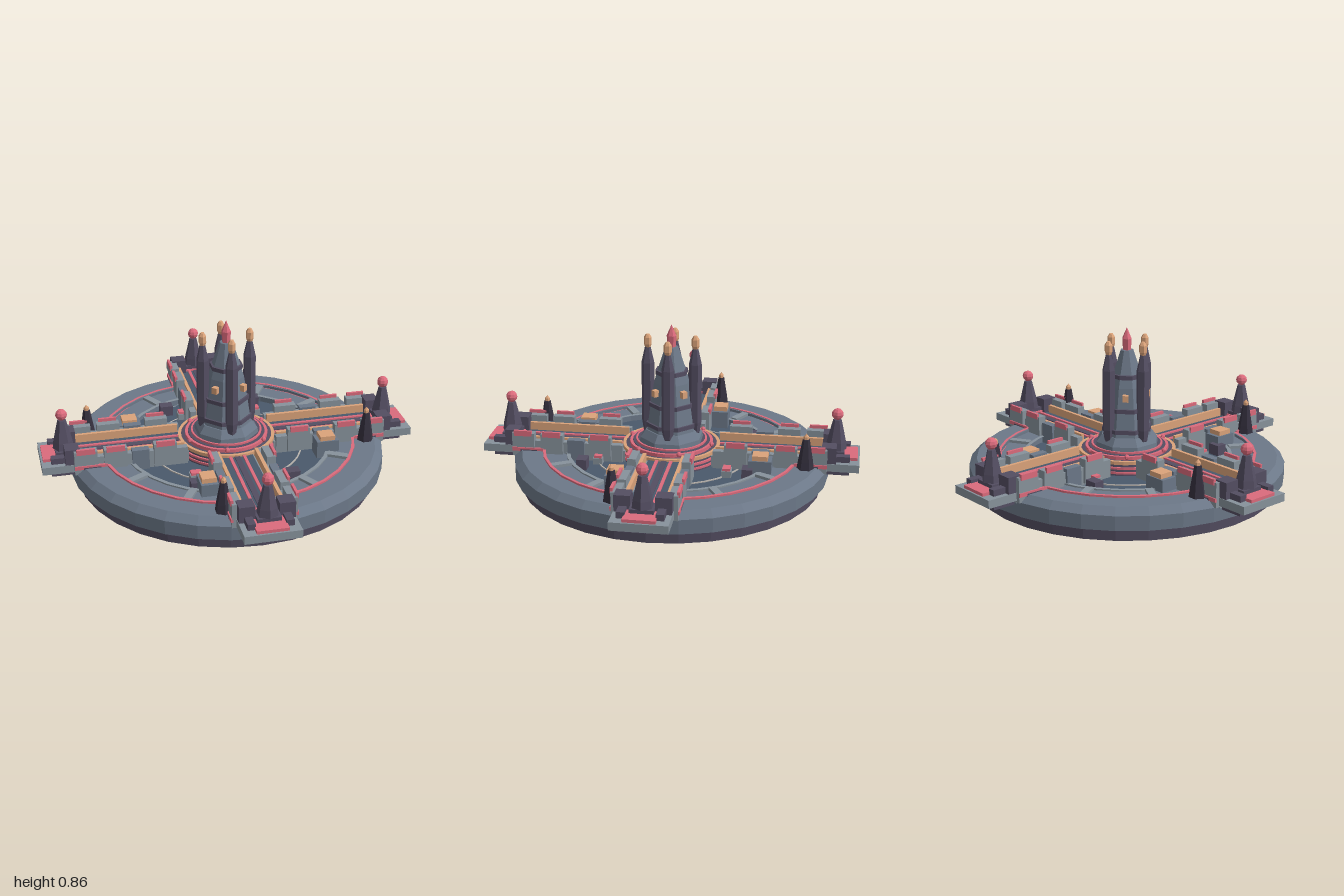
import * as THREE from 'three';

const mat = (color) => new THREE.MeshStandardMaterial({ color, flatShading: true, side: THREE.DoubleSide });
const M = {
  slate: mat(0x6c7888), light: mat(0x87929b), floor: mat(0x4a596b), dark: mat(0x544e62),
  black: mat(0x35313f), pink: mat(0xdb6b7c), orange: mat(0xdba37a), cream: mat(0xb9b4ae),
};

function add(parent, name, geometry, material, x = 0, y = 0, z = 0, ry = 0) {
  const mesh = new THREE.Mesh(geometry, material);
  mesh.name = name;
  mesh.position.set(x, y, z);
  mesh.rotation.y = ry;
  parent.add(mesh);
  return mesh;
}

// Box given by its centre in x and z and its bottom and top heights
const block = (p, name, m, x, z, w, d, y0, y1, ry = 0) =>
  add(p, name, new THREE.BoxGeometry(w, y1 - y0, d), m, x, (y0 + y1) / 2, z, ry);

// Turned shape from [radius, height] pairs, listed from bottom to top
const turned = (p, name, m, pts, sides, x = 0, z = 0, ry = 0) =>
  add(p, name, new THREE.LatheGeometry(pts.map(([r, y]) => new THREE.Vector2(r, y)), sides), m, x, 0, z, ry);

// Flat raised band between two radii
const band = (p, name, m, r0, r1, y0, y1, sides = 32) =>
  turned(p, name, m, [[r0, y0], [r1, y0], [r1, y1], [r0, y1]], sides);

// Calls fn(x, z, angle) at n places round a circle
function around(n, r, start, fn) {
  for (let i = 0; i < n; i++) {
    const a = start + (i * Math.PI * 2) / n;
    fn(r * Math.cos(a), r * Math.sin(a), a);
  }
}

function makeBase() {
  const g = new THREE.Group();
  g.name = 'base';
  turned(g, 'lowerHull', M.dark, [[0, 0], [0.805, 0], [0.81, 0.065], [0.84, 0.065]], 32);
  add(g, 'underside', new THREE.CircleGeometry(0.8, 32).rotateX(Math.PI / 2), M.black, 0, -0.0005, 0);
  turned(g, 'upperHull', M.slate,
    [[0.84, 0.065], [0.84, 0.14], [0.8, 0.175], [0.68, 0.175], [0.68, 0.16], [0.56, 0.16], [0.56, 0.13]], 32);
  add(g, 'courtyardFloor', new THREE.CircleGeometry(0.565, 32).rotateX(-Math.PI / 2), M.floor, 0, 0.13, 0);
  band(g, 'pinkRing', M.pink, 0.675, 0.69, 0.16, 0.185);
  band(g, 'courtyardRim', M.light, 0.545, 0.565, 0.13, 0.168);
  band(g, 'innerLine', M.cream, 0.4, 0.407, 0.13, 0.136);
  around(12, 0.62, 0, (x, z, a) => block(g, 'ringRib', M.light, x, z, 0.115, 0.04, 0.16, 0.175, -a));
  around(6, 0.5, 0, (x, z) => block(g, 'darkHut', M.dark, x, z, 0.07, 0.055, 0.13, 0.188));
  around(6, 0.4, 0.1, (x, z) => {
    block(g, 'smallHut', M.light, x, z, 0.065, 0.05, 0.13, 0.165);
    block(g, 'smallHutRoof', M.pink, x, z, 0.055, 0.04, 0.165, 0.178);
  });
  return g;
}

function makeArm() {
  const g = new THREE.Group();
  g.name = 'arm';
  // Causeway deck with its stripes and rails
  block(g, 'deck', M.light, 0, 0.53, 0.26, 0.6, 0.13, 0.19);
  block(g, 'roadway', M.floor, 0, 0.53, 0.17, 0.58, 0.19, 0.195);
  for (const s of [-1, 1]) {
    block(g, 'pinkStripe', M.pink, s * 0.037, 0.535, 0.016, 0.59, 0.19, 0.203);
    block(g, 'orangeRail', M.orange, s * 0.102, 0.53, 0.018, 0.56, 0.19, 0.235);
    block(g, 'lowWall', M.light, s * 0.13, 0.53, 0.035, 0.58, 0.13, 0.225);
    for (const [z, len] of [[0.775, 0.12], [0.62, 0.12], [0.36, 0.12]]) {
      block(g, 'merlon', M.light, s * 0.14, z, 0.046, len, 0.14, 0.268);
      block(g, 'merlonTrim', M.pink, s * 0.162, z, 0.014, len * 0.8, 0.255, 0.285);
    }
    block(g, 'lowMerlon', M.slate, s * 0.14, 0.49, 0.04, 0.09, 0.13, 0.243);
    block(g, 'wallFootTrim', M.pink, s * 0.163, 0.75, 0.012, 0.17, 0.17, 0.19);
    block(g, 'bracket', M.dark, s * 0.145, 0.745, 0.05, 0.09, 0.13, 0.18);
    block(g, 'gateBlock', M.dark, s * 0.1, 0.842, 0.08, 0.075, 0.19, 0.275);
    block(g, 'gateStep', M.dark, s * 0.095, 0.915, 0.04, 0.07, 0.19, 0.222);
  }
  block(g, 'centreLine', M.dark, 0, 0.53, 0.03, 0.58, 0.19, 0.2);
  // Landing platform
  block(g, 'platform', M.light, 0, 0.86, 0.285, 0.28, 0.148, 0.19);
  block(g, 'platformKeel', M.dark, 0, 0.86, 0.23, 0.18, 0.12, 0.148);
  block(g, 'landingPad', M.pink, 0, 0.905, 0.16, 0.17, 0.19, 0.206);
  // Beacon turret
  block(g, 'beaconPlinth', M.dark, 0, 0.875, 0.12, 0.09, 0.19, 0.225);
  turned(g, 'beaconTurret', M.dark, [[0, 0.225], [0.055, 0.225], [0.05, 0.265], [0.022, 0.385], [0, 0.385]], 6, 0, 0.875);
  add(g, 'beaconBall', new THREE.SphereGeometry(0.031, 8, 6), M.pink, 0, 0.415, 0.875);
  // Watch spire on the rim
  turned(g, 'watchSpire', M.black, [[0, 0.17], [0.045, 0.17], [0.038, 0.22], [0.018, 0.335], [0, 0.335]], 6, -0.18, 0.725);
  turned(g, 'watchSpireCap', M.orange, [[0, 0.33], [0.014, 0.335], [0.014, 0.35], [0, 0.367]], 6, -0.18, 0.725);
  // Courtyard house
  block(g, 'house', M.slate, -0.208, 0.495, 0.09, 0.12, 0.13, 0.225);
  block(g, 'houseRoof', M.orange, -0.208, 0.495, 0.075, 0.08, 0.225, 0.25);
  return g;
}

function makeTower() {
  const g = new THREE.Group();
  g.name = 'tower';
  // Stepped pedestal with coloured rings
  turned(g, 'pedestal', M.dark, [[0.26, 0.13], [0.25, 0.2], [0.215, 0.205], [0.205, 0.225], [0, 0.225]], 32);
  band(g, 'pedestalOrangeRing', M.orange, 0.243, 0.26, 0.19, 0.208);
  band(g, 'pedestalPinkRing', M.pink, 0.205, 0.222, 0.2, 0.222);
  band(g, 'pedestalTopRing', M.pink, 0.18, 0.19, 0.22, 0.235);
  for (const y of [0.14, 0.165]) band(g, 'pedestalStripe', M.pink, 0.24, 0.264, y, y + 0.011);
  around(6, 0.225, 0.72, (x, z) => add(g, 'pedestalLamp', new THREE.SphereGeometry(0.014, 6, 5), M.pink, x, 0.222, z));
  // Tapering body
  turned(g, 'towerFoot', M.slate, [[0.175, 0.22], [0.17, 0.25], [0.14, 0.29], [0, 0.29]], 8, 0, 0, Math.PI / 8);
  turned(g, 'towerBody', M.slate,
    [[0.135, 0.28], [0.115, 0.42], [0.095, 0.55], [0.075, 0.62], [0.035, 0.74], [0, 0.74]], 8, 0, 0, Math.PI / 8);
  for (const [r, y] of [[0.138, 0.31], [0.122, 0.42], [0.088, 0.595]])
    turned(g, 'towerCollar', M.dark, [[0, y], [r, y], [r, y + 0.022], [0, y + 0.022]], 8, 0, 0, Math.PI / 8);
  turned(g, 'towerTip', M.pink, [[0, 0.73], [0.022, 0.74], [0.026, 0.8], [0, 0.86]], 6);
  around(4, 0.105, Math.PI / 4, (x, z, a) => block(g, 'window', M.orange, x, z, 0.03, 0.03, 0.485, 0.52, -a));
  // Flanking spires
  around(4, 0.126, 0, (x, z) => {
    turned(g, 'sideSpire', M.dark,
      [[0, 0.235], [0.025, 0.27], [0.034, 0.33], [0.034, 0.65], [0.015, 0.735], [0, 0.735]], 6, x, z);
    turned(g, 'sideSpireFinial', M.orange,
      [[0, 0.72], [0.014, 0.73], [0.021, 0.75], [0.021, 0.785], [0.01, 0.803], [0, 0.803]], 6, x, z);
  });
  return g;
}

export function createModel() {
  const model = new THREE.Group();
  model.name = 'roundFortress';
  model.add(makeBase(), makeTower());
  for (let i = 0; i < 4; i++) {
    const arm = makeArm();
    arm.rotation.y = (i * Math.PI) / 2;
    model.add(arm);
  }
  return model;
}
